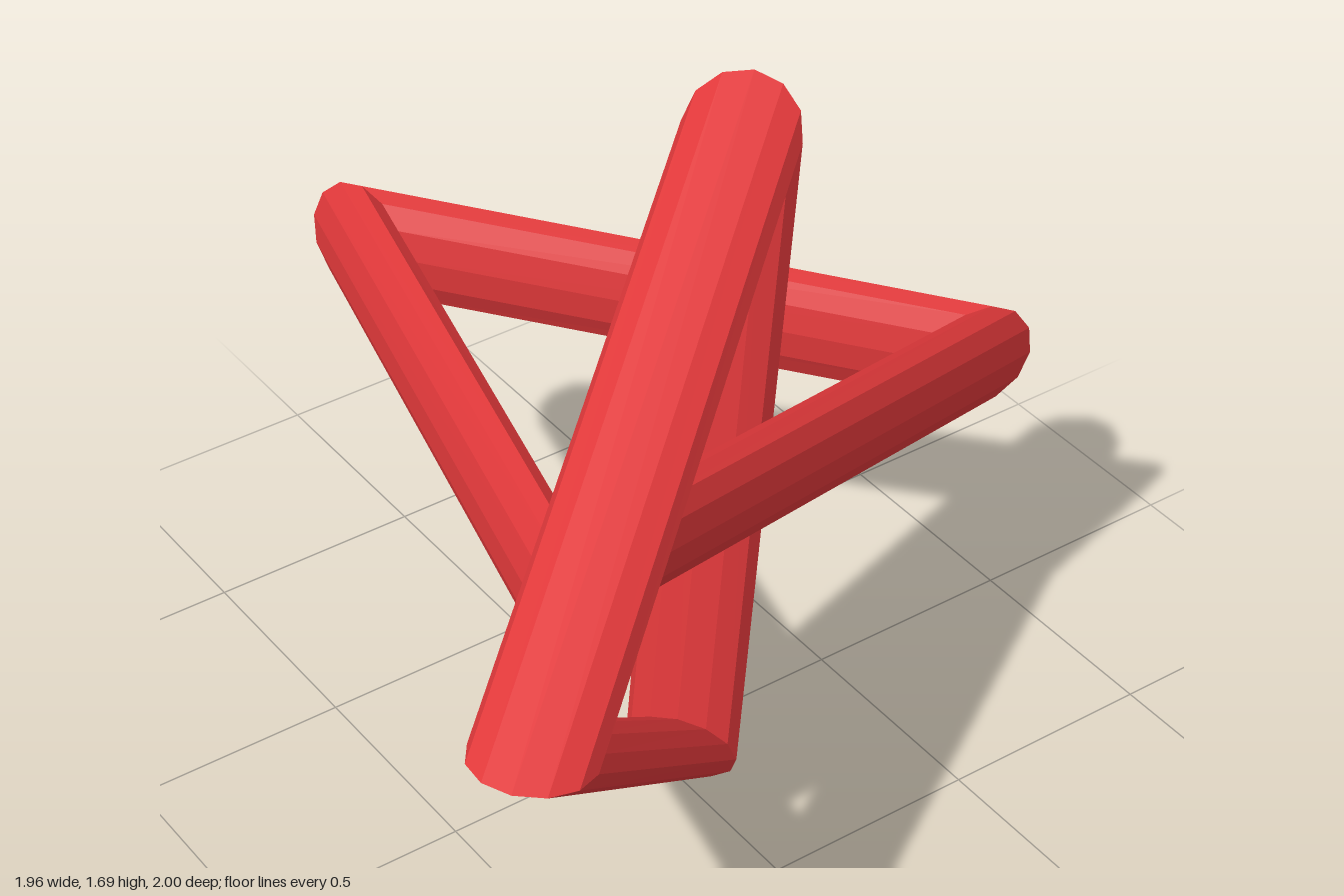
import * as THREE from 'three';

const RADIUS = 0.126;
const SIDES = 12;

// Closed triangular ring: a round section at each corner, joined by straight bars
function triangleRing(points, material, name) {
  const corners = points.map((p) => new THREE.Vector3(...p));
  const centre = corners.reduce((s, c) => s.add(c), new THREE.Vector3()).divideScalar(3);
  const normal = corners[1].clone().sub(corners[0])
    .cross(corners[2].clone().sub(corners[0])).normalize();

  const positions = [];
  for (const corner of corners) {
    const outward = corner.clone().sub(centre).normalize();
    for (let j = 0; j < SIDES; j++) {
      const a = (j / SIDES) * Math.PI * 2;
      const p = corner.clone()
        .addScaledVector(outward, RADIUS * Math.cos(a))
        .addScaledVector(normal, RADIUS * Math.sin(a));
      positions.push(p.x, p.y, p.z);
    }
  }

  const index = [];
  for (let i = 0; i < 3; i++) {
    for (let j = 0; j < SIDES; j++) {
      const i2 = ((i + 1) % 3) * SIDES, j2 = (j + 1) % SIDES;
      const a = i * SIDES + j, b = i2 + j, c = i2 + j2, d = i * SIDES + j2;
      index.push(a, b, c, a, c, d);
    }
  }

  const indexed = new THREE.BufferGeometry();
  indexed.setAttribute('position', new THREE.Float32BufferAttribute(positions, 3));
  indexed.setIndex(index);
  const geometry = indexed.toNonIndexed();
  geometry.computeVertexNormals();
  const mesh = new THREE.Mesh(geometry, material);
  mesh.name = name;
  return mesh;
}

export function createModel() {
  const group = new THREE.Group();
  group.name = 'linkedTriangles';
  const red = new THREE.MeshStandardMaterial({ color: 0xe0383a, flatShading: true });

  // Nearly level triangle
  group.add(triangleRing(
    [[-0.165, 0.945, -0.875], [0.857, 0.755, 0.075], [-0.549, 1.035, 0.492]],
    red, 'levelTriangle'));

  // Upright triangle threaded through it
  group.add(triangleRing(
    [[-0.862, 1.04, 0.875], [0.187, 1.585, 0.074], [-0.016, 0.117, 0.165]],
    red, 'uprightTriangle'));

  return group;
}
